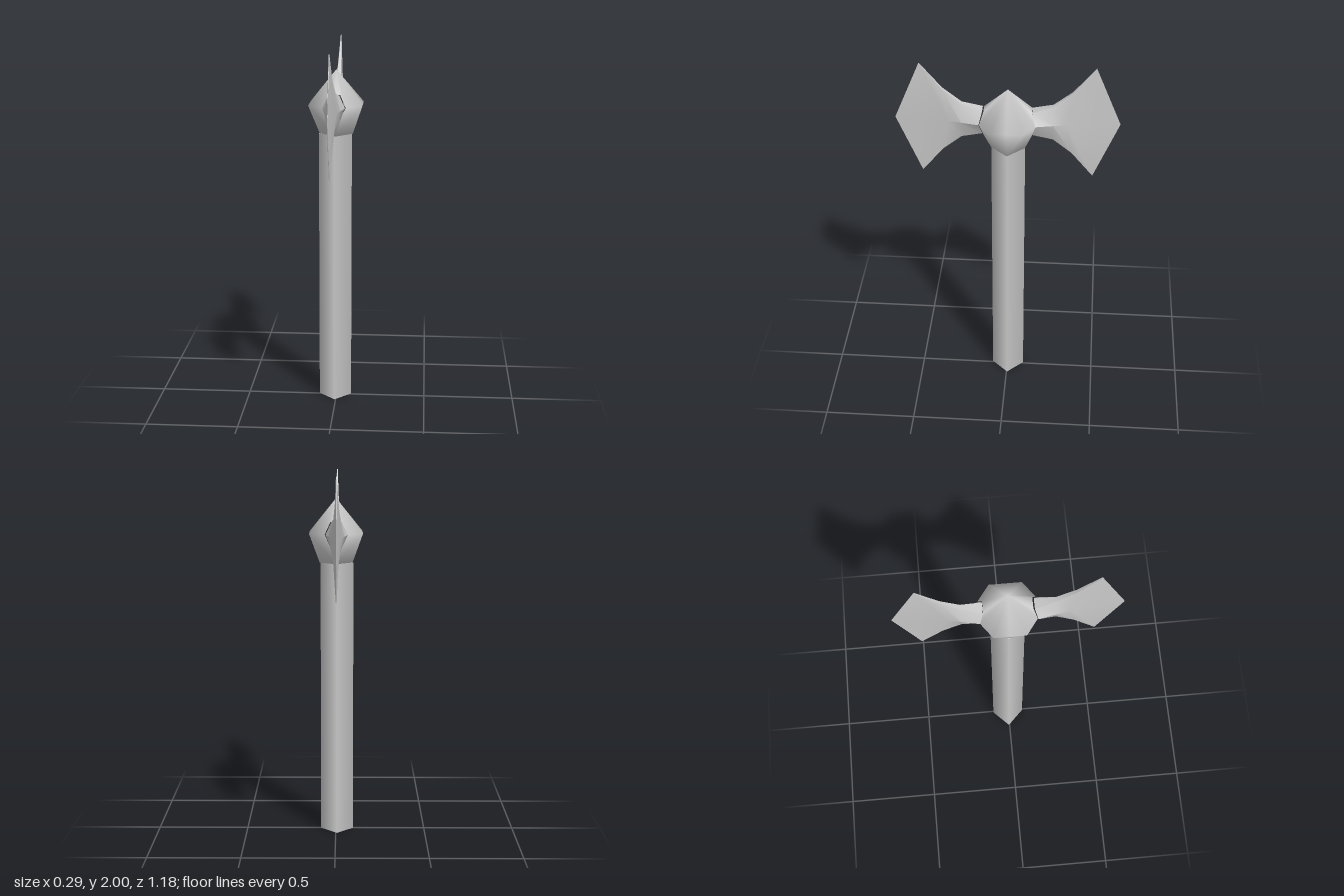
import * as THREE from 'three';
import { mergeVertices, toCreasedNormals } from 'three/addons/utils/BufferGeometryUtils.js';

const material = new THREE.MeshStandardMaterial({ color: 0xcccccc });
const BOTH = [1, -1];

function addMesh(group, name, geometry, x, y, z) {
  const mesh = new THREE.Mesh(geometry, material);
  mesh.name = name;
  mesh.position.set(x, y, z);
  group.add(mesh);
}

// Copies polygons into every listed sign octant, keeping them facing outward
function mirrored(polygons, octants) {
  const positions = [];
  for (const [sx, sy, sz] of octants) {
    for (const polygon of polygons) {
      const pts = polygon.map(([x, y, z]) => [x * sx, y * sy, z * sz]);
      if (sx * sy * sz < 0) pts.reverse();
      for (let i = 1; i < pts.length - 1; i++) positions.push(...pts[0], ...pts[i], ...pts[i + 1]);
    }
  }
  const geometry = new THREE.BufferGeometry();
  geometry.setAttribute('position', new THREE.Float32BufferAttribute(positions, 3));
  return geometry;
}

// Faceted knob with a pointed top, narrowing to the diamond-shaped handle
function headGeometry() {
  const apex = [0, 1.865, 0];
  const side = [0.145, 1.68, 0], corner = [0.145, 1.68, 0.085], root = [0.06, 1.68, 0.147];
  const upper = [0.03, 1.745, 0.126], upperMid = [0, 1.745, 0.126];
  const lower = [0.03, 1.615, 0.13], lowerMid = [0, 1.615, 0.13];
  const neckSide = [0.09, 1.515, 0], neckFront = [0, 1.515, 0.09];
  const quarter = [
    [apex, corner, side], [apex, root, corner], [apex, upper, root], [apex, upperMid, upper],
    [side, corner, neckSide], [corner, root, neckFront], [corner, neckFront, neckSide],
    [root, lower, neckFront], [lower, lowerMid, neckFront],
  ];
  const octants = BOTH.flatMap((sx) => BOTH.map((sz) => [sx, 1, sz]));
  const geometry = mergeVertices(mirrored(quarter, octants));
  geometry.computeVertexNormals();
  return geometry;
}

// Flaring blade, thick along its middle ridge and thin at its edges
function bladeGeometry(sz) {
  // ridge z, ridge half thickness, edge z, edge half thickness, edge height
  const sections = [
    [0.147, 0.06, 0.13, 0.03, 0.065],
    [0.24, 0.041, 0.24, 0.013, 0.0975],
    [0.31, 0.026, 0.34, 0.008, 0.18],
    [0.45, 0.013, 0.455, 0.002, 0.322],
  ].map(([rz, rx, ez, ex, h]) => ({ ridge: [rx, 0, rz], edge: [ex, h, ez], mid: [0, h, ez] }));
  const tip = [0, 0, 0.59];
  const quarter = [];
  for (let i = 0; i < sections.length - 1; i++) {
    const a = sections[i], b = sections[i + 1];
    quarter.push([a.ridge, a.edge, b.edge, b.ridge], [a.edge, a.mid, b.mid, b.edge]);
  }
  const last = sections[sections.length - 1];
  quarter.push([last.ridge, last.edge, tip], [last.edge, last.mid, tip]);
  const octants = BOTH.flatMap((sx) => BOTH.map((sy) => [sx, sy, sz]));
  return toCreasedNormals(mirrored(quarter, octants), 0.5);
}

export function createModel() {
  const model = new THREE.Group();
  model.name = 'doubleAxe';

  // Four-sided handle, corners toward the front and sides
  addMesh(model, 'handle', new THREE.CylinderGeometry(0.09, 0.09, 1.515, 4), -0.007, 0.7575, -0.004);
  addMesh(model, 'head', headGeometry(), -0.002, 0, -0.003);

  // Front and back blades
  addMesh(model, 'frontBlade', bladeGeometry(1), -0.006, 1.678, 0);
  addMesh(model, 'backBlade', bladeGeometry(-1), -0.006, 1.678, 0);
  return model;
}
